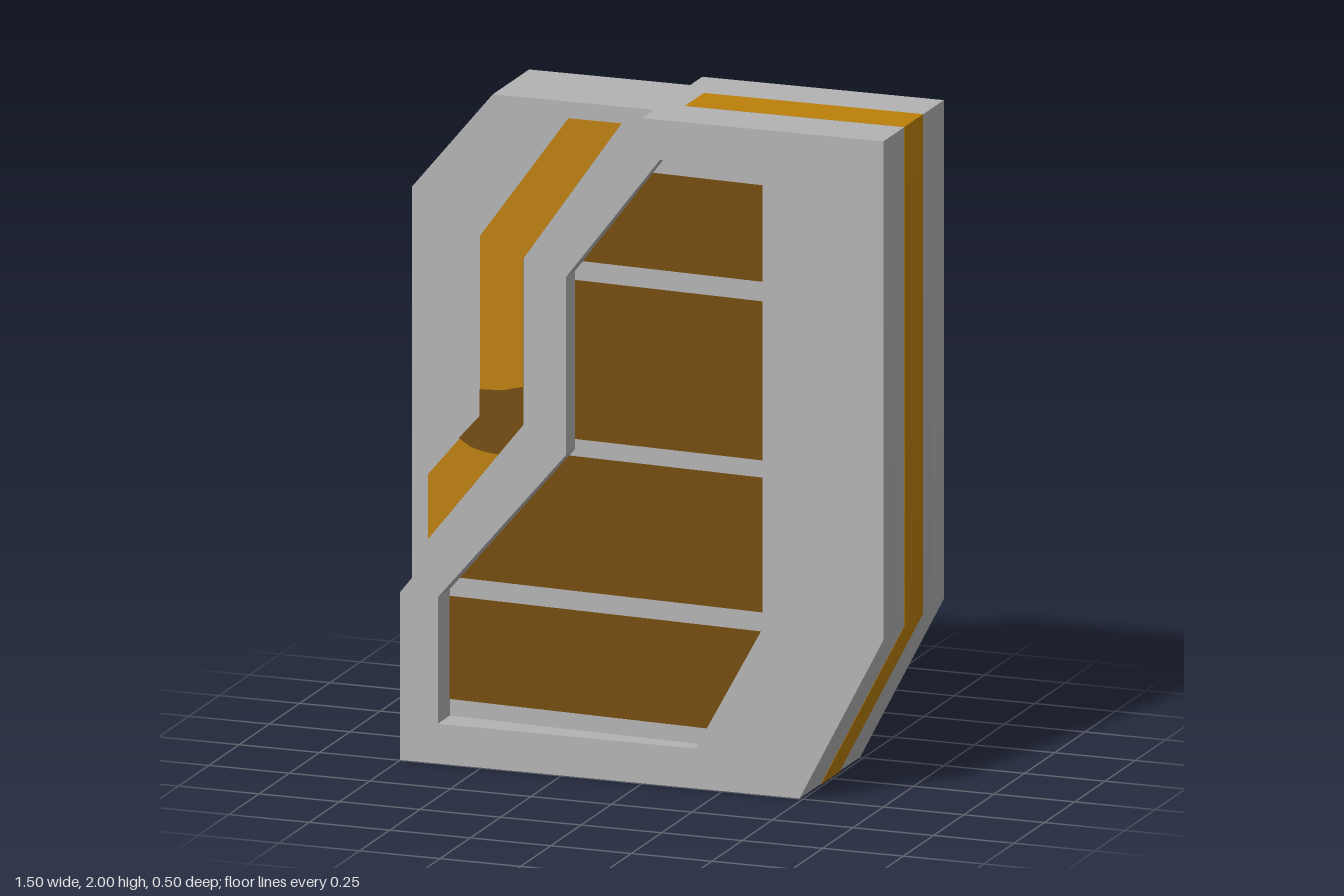
import * as THREE from 'three';
import { toCreasedNormals } from 'three/addons/utils/BufferGeometryUtils.js';

const mat = (name, color) => new THREE.MeshStandardMaterial({ name, color });

const FULL = 0.25;   // half thickness of the raised casing
const CORE = 0.15;   // half thickness of the core slab
const SLOPE = 0.06;  // rise of the window floor per unit of x
const DEEP_X = -0.633; // edge where the window floor is deepest

// Extrude a polygon from z0 to z1, optionally sheared so that z rises with x
function prism(name, points, z0, z1, material, { hole, slope = 0 } = {}) {
  const toPts = (a) => a.map(([x, y]) => new THREE.Vector2(x, y));
  const shape = new THREE.Shape(toPts(points));
  if (hole) shape.holes.push(new THREE.Path(toPts(hole)));
  const geo = new THREE.ExtrudeGeometry(shape, { depth: z1 - z0, bevelEnabled: false });
  const pos = geo.attributes.position;
  for (let i = 0; i < pos.count; i++) {
    pos.setZ(i, pos.getZ(i) + z0 + slope * (pos.getX(i) - DEEP_X));
  }
  // Only very gentle corners are smoothed
  const mesh = new THREE.Mesh(toCreasedNormals(geo, 0.53), material);
  mesh.name = name;
  return mesh;
}

// Keep the part of a polygon between two heights
function clipBand(points, yMin, yMax) {
  const cut = (pts, y, sign) => {
    const out = [];
    pts.forEach((a, i) => {
      const b = pts[(i + 1) % pts.length];
      const da = (a[1] - y) * sign, db = (b[1] - y) * sign;
      if (da >= 0) out.push(a);
      if (da * db < 0) out.push([a[0] + (b[0] - a[0]) * da / (da - db), y]);
    });
    return out;
  };
  return cut(cut(points, yMin, 1), yMax, -1);
}

export function createModel() {
  const model = new THREE.Group();
  model.name = 'magazine';
  const grey = mat('casing grey', 0xb2b2b2);
  const amber = mat('amber', 0xbc800a);
  const brown = mat('dark amber', 0x744b0a);

  // Same piece on the front and on the back
  const bothSides = (name, points, z0, z1, material, { hole, slope = 0 } = {}) => {
    model.add(prism(name + 'Front', points, z0, z1, material, { hole, slope }));
    model.add(prism(name + 'Back', points, -z1, -z0, material, { hole, slope: -slope }));
  };

  // Core slab with the chamfered upper corner
  model.add(prism('coreSlab', [
    [-0.75, 0], [0.49, 0], [0.75, 0.5], [0.75, 2], [-0.5, 2], [-0.75, 1.7],
  ], -CORE, CORE, grey));

  // Raised casing frames around the recessed window
  const casing = [
    [-0.75, 0], [0.49, 0], [0.75, 0.5], [0.75, 2],
    [0, 2], [-0.353, 1.515], [-0.353, 1], [-0.75, 0.505],
  ];
  const recess = [
    [DEEP_X, 0.12], [0.167, 0.12], [0.375, 0.5], [0.375, 1.88],
    [0.057, 1.88], [-0.235, 1.5], [-0.235, 0.965], [DEEP_X, 0.5],
  ];
  bothSides('casingFrame', casing, CORE, FULL, grey, { hole: recess });

  // Window floor, shallower toward the spine
  bothSides('windowFloor', recess, CORE - 0.05, CORE + 0.001, grey, { slope: SLOPE });

  // Window panes on the floor, separated by bare bars
  [[0.17, 0.48], [0.538, 0.943], [0.995, 1.473], [1.532, 1.822]].forEach(([lo, hi], i) => {
    bothSides('windowPane' + (i + 1), clipBand(recess, lo, hi), CORE, CORE + 0.002, brown, { slope: SLOPE });
  });

  // Bent light strip beside the casing, with a dark patch at the bend
  bothSides('lightStrip', [
    [-0.1, 1.95], [-0.265, 1.95], [-0.54, 1.57], [-0.54, 1.03],
    [-0.7, 0.84], [-0.7, 0.645], [-0.405, 1.015], [-0.405, 1.515],
  ], CORE - 0.001, CORE + 0.001, amber);
  bothSides('stripPatch', [
    [-0.405, 1.13], [-0.47, 1.113], [-0.54, 1.11], [-0.54, 1.03], [-0.605, 0.957],
    [-0.57, 0.935], [-0.53, 0.924], [-0.482, 0.919], [-0.405, 1.015],
  ], CORE - 0.001, CORE + 0.002, brown);

  // Painted band wrapping over the top, side, slope and underside
  const t = 0.001;
  model.add(prism('edgeBand', [
    [0.07, 2 + t], [0.07, 2 - t], [0.75 - t, 2 - t], [0.75 - t, 0.5], [0.49 - t, t],
    [-0.68, t], [-0.68, -t], [0.49 + t, -t], [0.75 + t, 0.5], [0.75 + t, 2 + t],
  ], -0.077, 0.077, amber));

  return model;
}
